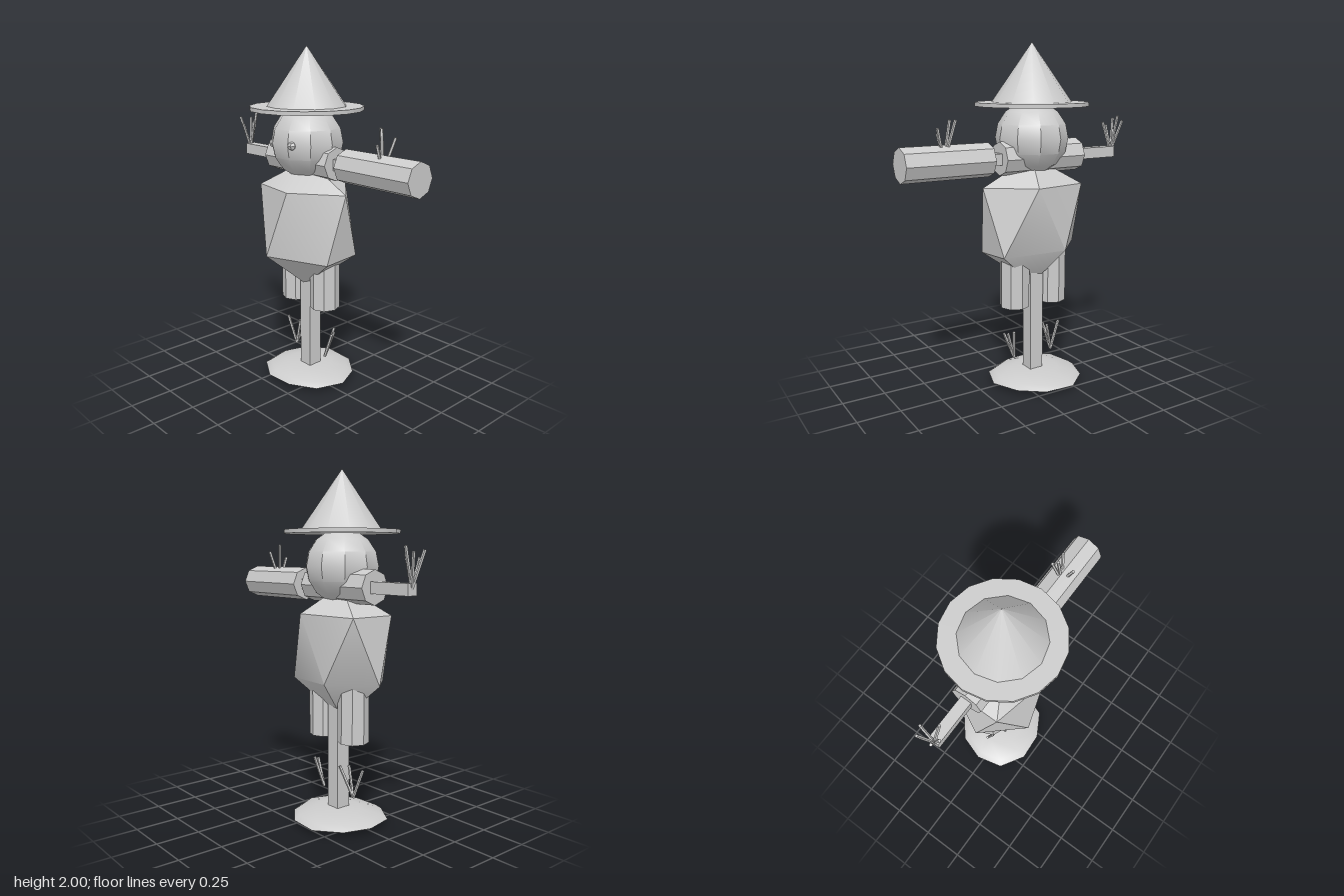
import * as THREE from 'three';
import { toCreasedNormals } from 'three/addons/utils/BufferGeometryUtils.js';
import { ConvexGeometry } from 'three/addons/geometries/ConvexGeometry.js';

export function createModel() {
  const group = new THREE.Group();
  group.name = 'scarecrow';
  const grey = new THREE.MeshStandardMaterial({ color: 0xcccccc });
  grey.name = 'plain grey';

  const CX = -0.1, CZ = -0.022; // centre line of the wooden frame

  // Adds a mesh, keeping edges above about 34 degrees sharp
  const add = (name, geometry, x = 0, y = 0, z = 0, parent = group) => {
    const mesh = new THREE.Mesh(toCreasedNormals(geometry, 0.6), grey);
    mesh.name = name;
    mesh.position.set(x, y, z);
    parent.add(mesh);
    return mesh;
  };

  // Bunch of thin straws running from one root to several tips
  const straws = (name, root, tips) => {
    const bunch = new THREE.Group();
    bunch.name = name;
    const a = new THREE.Vector3(...root);
    for (const tip of tips) {
      const b = new THREE.Vector3(...tip);
      const dir = b.clone().sub(a);
      const mid = a.clone().add(b).multiplyScalar(0.5);
      const straw = add('straw', new THREE.CylinderGeometry(0.009, 0.009, dir.length(), 5),
        mid.x, mid.y, mid.z, bunch);
      straw.quaternion.setFromUnitVectors(new THREE.Vector3(0, 1, 0), dir.normalize());
    }
    group.add(bunch);
  };

  // Earth mound: flattened sphere with a slightly uneven rim
  const mound = new THREE.SphereGeometry(1, 10, 6);
  const p = mound.attributes.position;
  for (let i = 0; i < p.count; i++) {
    const x = p.getX(i), y = p.getY(i), z = p.getZ(i);
    const k = 1 + 0.04 * Math.sin(3 * Math.atan2(z, x) + 0.7);
    p.setXYZ(i, x * 0.285 * k, y > 0 ? y * 0.05 : y * 0.035, z * 0.27 * k);
  }
  add('mound', mound, -0.114, 0.035, -0.033);

  // Wooden frame
  add('post', new THREE.BoxGeometry(0.086, 1.34, 0.086), CX, 0.72, CZ);
  add('crossbar', new THREE.BoxGeometry(1.13, 0.064, 0.064), CX, 1.363, CZ);

  // Faceted stuffed body: apex, two staggered rings of five, lower point
  const body = [
    [-0.1, 1.365, 0],
    [0.22, 1.203, 0], [-0.03, 1.21, 0.215], [-0.357, 1.203, 0.14], [-0.357, 1.203, -0.14], [-0.01, 1.21, -0.225],
    [0.177, 0.807, 0.1], [-0.193, 0.807, 0.238], [-0.405, 0.828, 0.01], [-0.2, 0.835, -0.21], [0.165, 0.82, -0.14],
    [-0.108, 0.598, 0],
  ];
  add('body', new ConvexGeometry(body.map((v) => new THREE.Vector3(...v))));

  // Octagonal sleeves and trouser legs
  for (const [name, x] of [['rightSleeve', -0.135], ['leftSleeve', 0.455]]) {
    add(name, new THREE.CylinderGeometry(0.095, 0.095, 0.52, 8), x, 1.363, CZ).rotation.z = Math.PI / 2;
  }
  for (const [name, side] of [['rightLeg', -1], ['leftLeg', 1]]) {
    add(name, new THREE.CylinderGeometry(0.088, 0.088, 0.36, 8), CX + side * 0.127, 0.67, CZ);
  }

  // Head and eyes
  add('head', new THREE.SphereGeometry(0.21, 10, 8), CX, 1.47, 0);
  for (const side of [-1, 1]) {
    add('eye', new THREE.SphereGeometry(0.025, 6, 4), CX + side * 0.08, 1.47, 0.18);
  }

  // Pointed hat
  add('hatBrim', new THREE.CylinderGeometry(0.325, 0.325, 0.022, 16), CX, 1.66, 0);
  add('hatCone', new THREE.ConeGeometry(0.229, 0.33, 12), CX, 1.835, 0);

  // Straw at the hands and feet
  straws('rightHandStraw', [-0.66, 1.363, CZ], [
    [-0.71, 1.55, -0.065], [-0.665, 1.58, -0.075], [-0.605, 1.54, -0.01], [-0.705, 1.56, 0.02], [-0.66, 1.52, 0.032]]);
  straws('leftHandStraw', [0.465, 1.363, CZ], [
    [0.41, 1.59, -0.06], [0.435, 1.59, -0.04], [0.515, 1.55, -0.06], [0.473, 1.515, 0.035]]);
  straws('rightFootStraw', [-0.23, 0.165, CZ], [
    [-0.295, 0.335, -0.01], [-0.17, 0.345, -0.07], [-0.18, 0.34, -0.01]]);
  straws('leftFootStraw', [0.03, 0.165, CZ], [
    [0.06, 0.345, -0.07], [0.095, 0.325, -0.015], [0.085, 0.33, -0.045]]);

  return group;
}
